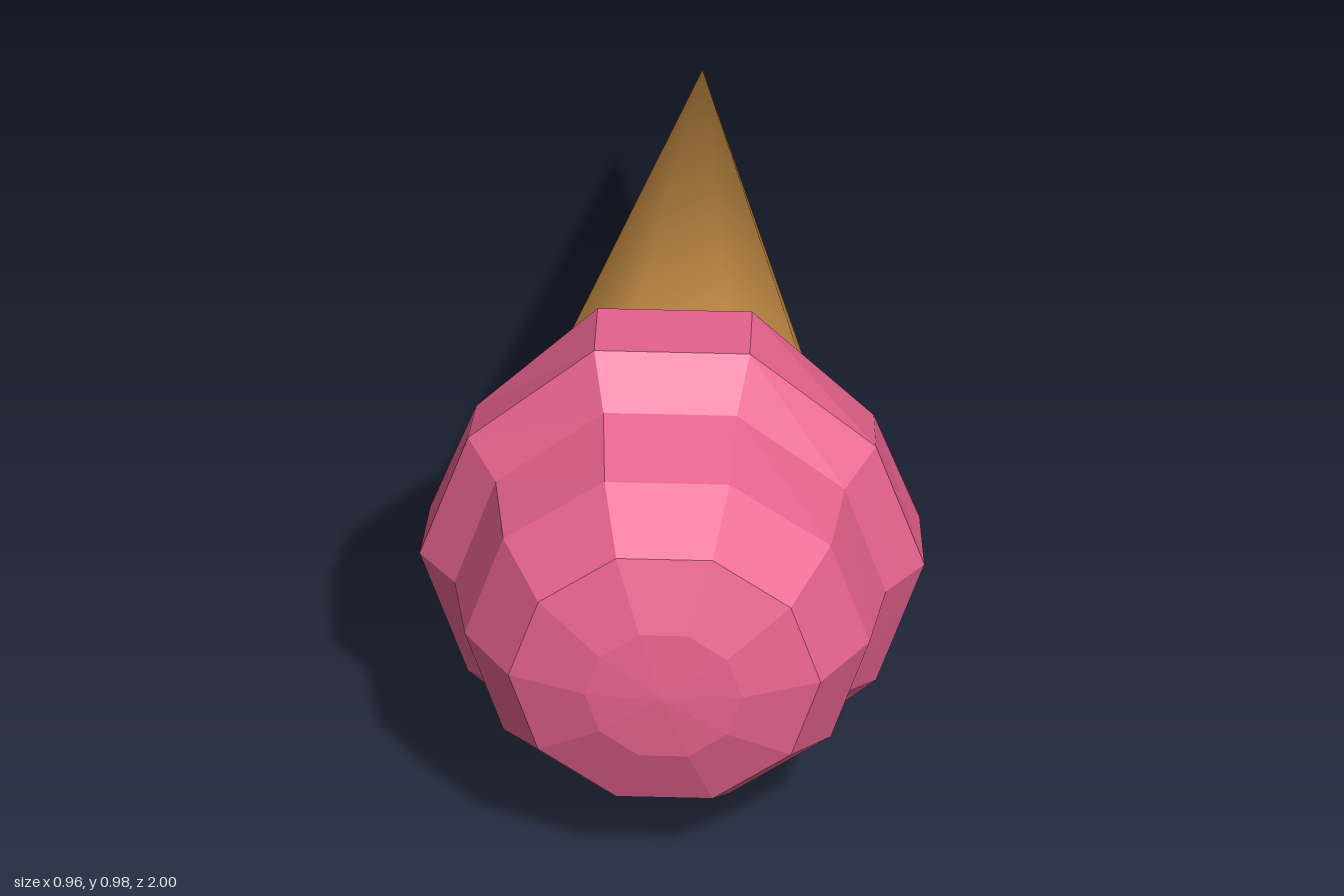
import * as THREE from 'three';
import { mergeVertices } from 'three/addons/utils/BufferGeometryUtils.js';

const CENTRE_Y = 0.49;

// Ten-sided ring from one quarter: side point, shoulder point, crown point
function ring([z, x0, x1, y1, x2, y2]) {
  return [
    [x0, 0], [x1, y1], [x2, y2], [-x2, y2], [-x1, y1],
    [-x0, 0], [-x1, -y1], [-x2, -y2], [x2, -y2], [x1, -y1],
  ].map(([x, y]) => [x, y, z]);
}

// Regular ring of radius r
const round = (z, r) => {
  const a = Math.PI / 5;
  return [z, r, r * Math.cos(a), r * Math.sin(a), r * Math.cos(2 * a), r * Math.sin(2 * a)];
};

// Skin between successive rings, ordered front to back
function loft(sections) {
  const rings = sections.map(ring);
  const positions = [];
  for (let k = 0; k < rings.length - 1; k++) {
    const a = rings[k], b = rings[k + 1];
    for (let i = 0; i < 10; i++) {
      const j = (i + 1) % 10;
      positions.push(...a[i], ...b[i], ...b[j], ...a[i], ...b[j], ...a[j]);
    }
  }
  const geometry = new THREE.BufferGeometry();
  geometry.setAttribute('position', new THREE.Float32BufferAttribute(positions, 3));
  geometry.computeVertexNormals();
  return geometry;
}

export function createModel() {
  const group = new THREE.Group();
  group.name = 'iceCreamCone';

  // Faceted scoop: domed front, overhanging lip, tapering to the cone
  const scoop = new THREE.Mesh(
    loft([
      round(1.0, 0),
      round(0.985, 0.15),
      round(0.93, 0.297),
      round(0.8, 0.385),
      [0.64, 0.41, 0.332, 0.241, 0.127, 0.41],
      [0.55, 0.48, 0.388, 0.277, 0.148, 0.49],
      [0.4, 0.465, 0.378, 0.24, 0.147, 0.478],
      [0.29, 0.39, 0.315, 0.218, 0.122, 0.382],
      round(0.26, 0.315),
      round(0.26, 0),
    ]),
    new THREE.MeshStandardMaterial({ color: 0xe8638f, flatShading: true }),
  );
  scoop.name = 'scoop';
  scoop.position.y = CENTRE_Y;
  group.add(scoop);

  // Smooth ten-sided wafer, pointing backwards, with one shared normal at the tip
  let cone = new THREE.ConeGeometry(0.315, 1.26, 10, 1, true);
  cone.rotateY(Math.PI / 2);
  cone.rotateX(-Math.PI / 2);
  cone.deleteAttribute('normal');
  cone.deleteAttribute('uv');
  cone = mergeVertices(cone, 1e-4);
  cone.computeVertexNormals();
  const wafer = new THREE.Mesh(cone, new THREE.MeshStandardMaterial({ color: 0xd2964a }));
  wafer.name = 'waferCone';
  wafer.position.set(0, CENTRE_Y, -0.37);
  group.add(wafer);

  return group;
}
